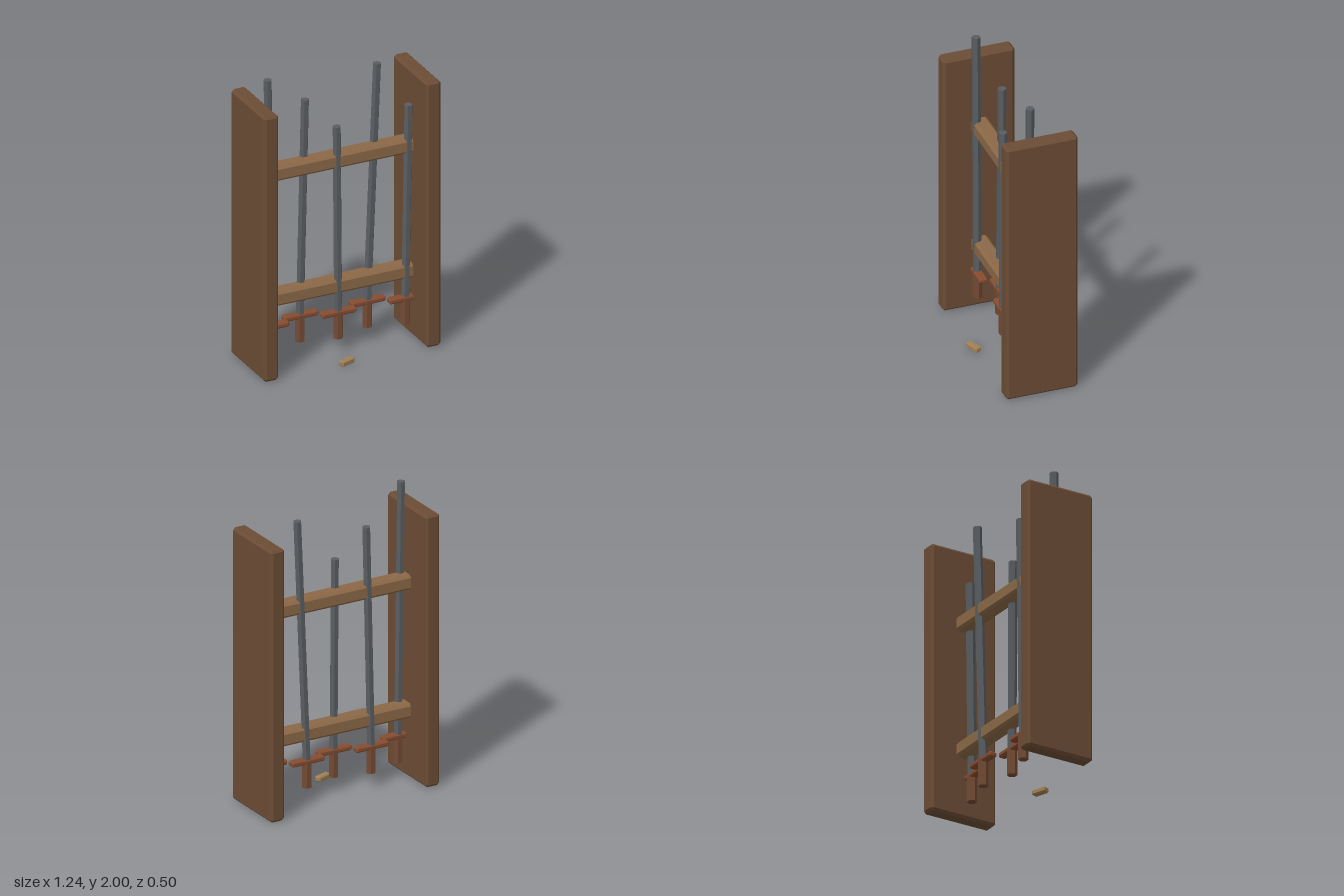
import * as THREE from 'three';
import { ConvexGeometry } from 'three/addons/geometries/ConvexGeometry.js';

const paint = (color) => new THREE.MeshStandardMaterial({ color, flatShading: true });

// Box with every edge cut by a flat chamfer c
function chamferBox(w, h, d, c) {
  const half = [w / 2, h / 2, d / 2];
  const points = [];
  for (const sx of [-1, 1]) for (const sy of [-1, 1]) for (const sz of [-1, 1]) {
    for (let axis = 0; axis < 3; axis++) {
      const p = half.map((v, i) => (i === axis ? v : v - c));
      points.push(new THREE.Vector3(p[0] * sx, p[1] * sy, p[2] * sz));
    }
  }
  return new ConvexGeometry(points);
}

export function createModel() {
  const model = new THREE.Group();
  model.name = 'swordRack';

  const panelWood = paint(0x6b4c35);
  const railWood = paint(0x8a6846);
  const steel = paint(0x595d61);
  const gripLeather = paint(0x734a34);
  const guardCopper = paint(0x864c30);
  const blockWood = paint(0xa08055);

  function add(parent, name, geometry, material, x, y, z) {
    const mesh = new THREE.Mesh(geometry, material);
    mesh.name = name;
    mesh.position.set(x, y, z);
    parent.add(mesh);
    return mesh;
  }

  // Side panels
  const panelGeo = chamferBox(0.104, 1.845, 0.482, 0.017);
  add(model, 'leftPanel', panelGeo, panelWood, 0.567, 0.9275, -0.008);
  add(model, 'rightPanel', panelGeo, panelWood, -0.567, 0.9275, -0.008);

  // Cross rails, let into the panels
  const railGeo = chamferBox(1.07, 0.1, 0.108, 0.017);
  add(model, 'lowerRail', railGeo, railWood, 0, 0.465, -0.01);
  add(model, 'upperRail', railGeo, railWood, 0, 1.335, -0.01);

  // Swords standing point up: [hilt x, tip x, tip y, z]
  const swords = [
    [-0.47, -0.493, 2.0, 0.022],
    [-0.235, -0.2, 1.775, -0.043],
    [0, -0.01, 1.575, 0.022],
    [0.235, 0.304, 1.92, -0.043],
    [0.47, 0.492, 1.62, 0.022],
  ];
  const gripGeo = new THREE.CylinderGeometry(0.033, 0.033, 0.18, 6).rotateY(Math.PI / 6);
  const guardGeo = chamferBox(0.24, 0.036, 0.056, 0.009);
  const bladeBase = 0.27;
  for (const [hiltX, tipX, tipY, z] of swords) {
    const sword = new THREE.Group();
    sword.name = 'sword';
    model.add(sword);
    add(sword, 'grip', gripGeo, gripLeather, hiltX, 0.193, z);
    add(sword, 'guard', guardGeo, guardCopper, hiltX, 0.281, z);

    // Six-sided blade leaning from hilt to tip
    const dx = tipX - hiltX;
    const dy = tipY - bladeBase;
    const bladeGeo = new THREE.CylinderGeometry(0.028, 0.028, Math.hypot(dx, dy), 6);
    bladeGeo.rotateY(Math.PI / 6);
    const blade = add(sword, 'blade', bladeGeo, steel,
      (hiltX + tipX) / 2, (bladeBase + tipY) / 2, z);
    blade.rotation.z = -Math.atan2(dx, dy);
  }

  // Loose block on the floor
  const block = add(model, 'looseBlock', chamferBox(0.105, 0.036, 0.045, 0.007),
    blockWood, -0.033, 0.024, 0.21);
  block.rotation.y = 0.33;

  return model;
}
